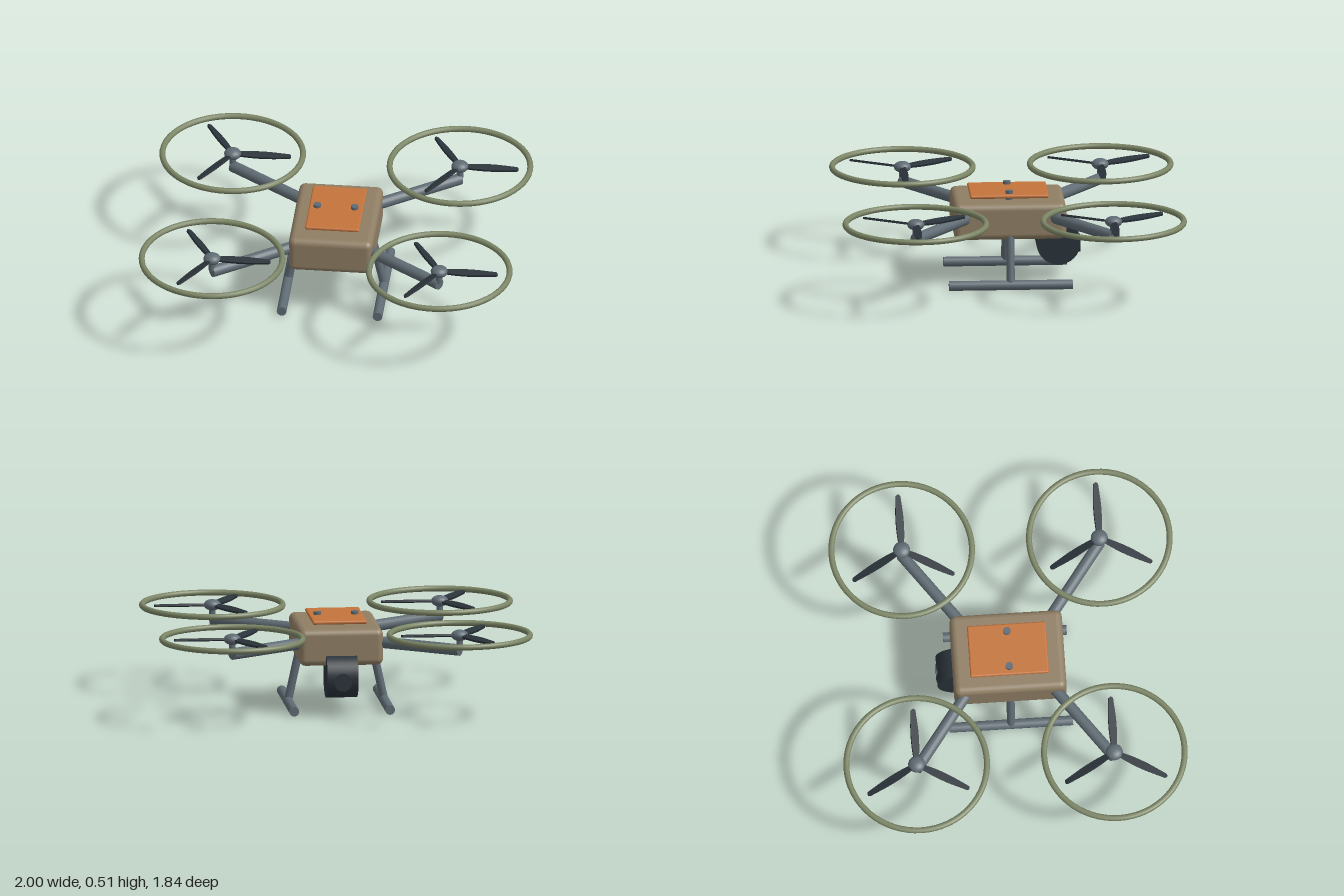
import * as THREE from 'three';
import { RoundedBoxGeometry } from 'three/addons/geometries/RoundedBoxGeometry.js';

const material = (name, color) => {
  const m = new THREE.MeshStandardMaterial({ color });
  m.name = name;
  return m;
};

export function createModel() {
  const model = new THREE.Group();
  model.name = 'quadcopter';
  const tan = material('tan shell', 0x8f7e64);
  const orange = material('orange hatch', 0xc4733a);
  const grey = material('grey metal', 0x5f6b73);
  const dark = material('dark plastic', 0x2a333a);
  const olive = material('olive guard', 0x7b8565);

  const add = (parent, name, geometry, mat, x = 0, y = 0, z = 0) => {
    const mesh = new THREE.Mesh(geometry, mat);
    mesh.name = name;
    mesh.position.set(x, y, z);
    parent.add(mesh);
    return mesh;
  };
  // Round bar between two points
  const bar = (name, from, to, radius) => {
    const a = new THREE.Vector3(...from), b = new THREE.Vector3(...to);
    const dir = b.clone().sub(a);
    const mesh = add(model, name, new THREE.CylinderGeometry(radius, radius, dir.length(), 20), grey);
    mesh.position.copy(a).add(b).multiplyScalar(0.5);
    mesh.quaternion.setFromUnitVectors(new THREE.Vector3(0, 1, 0), dir.normalize());
  };

  // Body and top hatch with two fasteners
  add(model, 'body', new RoundedBoxGeometry(0.45, 0.197, 0.6, 4, 0.035), tan, 0, 0.361, 0);
  add(model, 'hatch', new RoundedBoxGeometry(0.29, 0.02, 0.42, 3, 0.009), orange, 0, 0.482, 0);
  for (const x of [-0.1, 0.1])
    add(model, 'fastener', new THREE.CylinderGeometry(0.02, 0.02, 0.05, 16), grey, x, 0.483, 0);

  // Blade outline, running outward along x
  const outline = new THREE.Shape();
  outline.moveTo(0.02, -0.012);
  outline.quadraticCurveTo(0.12, -0.026, 0.22, -0.019);
  outline.lineTo(0.305, -0.012);
  outline.quadraticCurveTo(0.322, 0, 0.305, 0.012);
  outline.lineTo(0.22, 0.019);
  outline.quadraticCurveTo(0.12, 0.026, 0.02, 0.012);
  const bladeGeometry = new THREE.ExtrudeGeometry(outline, { depth: 0.012, bevelEnabled: false, curveSegments: 8 });
  bladeGeometry.translate(0, 0, -0.006).rotateX(-Math.PI / 2 + 0.3);

  // Four arms, each with a guarded three-blade rotor
  const ringGeometry = new THREE.TorusGeometry(0.375, 0.016, 12, 64).rotateX(Math.PI / 2);
  const hubGeometry = new THREE.SphereGeometry(0.046, 20, 14).scale(1, 0.65, 1);
  for (const sx of [-1, 1]) for (const sz of [-1, 1]) {
    bar('arm', [sx * 0.18, 0.38, sz * 0.22], [sx * 0.61, 0.38, sz * 0.53], 0.031);
    const rotor = new THREE.Group();
    rotor.name = 'rotor';
    rotor.position.set(sx * 0.609, 0.46, sz * 0.528);
    model.add(rotor);
    add(rotor, 'guardRing', ringGeometry, olive);
    add(rotor, 'hub', hubGeometry, grey);
    add(rotor, 'shaft', new THREE.CylinderGeometry(0.018, 0.018, 0.07, 16), grey, 0, -0.035, 0);
    for (let i = 0; i < 3; i++)
      add(rotor, 'blade', bladeGeometry, dark).rotation.y = (i * Math.PI * 2) / 3;
  }

  // Landing skids and struts
  for (const s of [-1, 1]) {
    bar('skid', [s * 0.257, 0.026, -0.33], [s * 0.257, 0.026, 0.33], 0.026);
    bar('strut', [s * 0.257, 0.03, 0], [s * 0.2, 0.29, 0], 0.022);
  }

  // Camera drum under the rear, with a lens facing back
  add(model, 'cameraDrum', new THREE.CylinderGeometry(0.117, 0.117, 0.166, 32).rotateZ(Math.PI / 2), dark, 0, 0.207, -0.265);
  add(model, 'lens', new THREE.CylinderGeometry(0.048, 0.048, 0.06, 24).rotateX(Math.PI / 2), dark, 0, 0.188, -0.355);

  return model;
}
